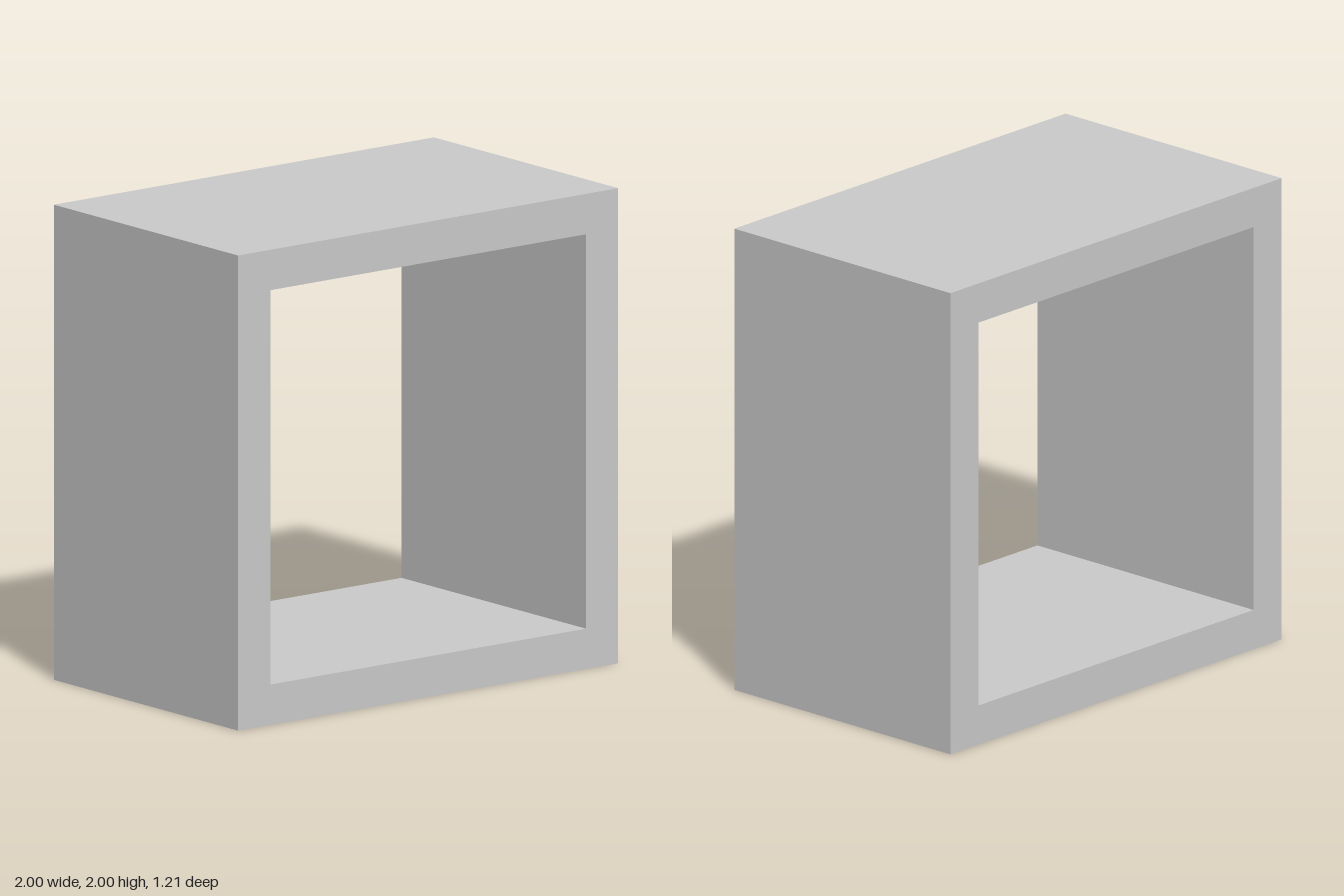
import * as THREE from 'three';

const SIZE = 2, WALL = 0.17, DEPTH = 1.21;

// Square outline centred on x, standing on y = 0, inset from the outer edge
function squarePath(path, inset) {
  const h = SIZE / 2 - inset, y0 = inset, y1 = SIZE - inset;
  path.moveTo(-h, y0);
  path.lineTo(h, y0);
  path.lineTo(h, y1);
  path.lineTo(-h, y1);
  path.closePath();
  return path;
}

export function createModel() {
  const model = new THREE.Group();
  model.name = 'openCubeShelf';

  // Square frame, open front to back
  const outline = squarePath(new THREE.Shape(), 0);
  outline.holes.push(squarePath(new THREE.Path(), WALL));
  const geometry = new THREE.ExtrudeGeometry(outline, { depth: DEPTH, bevelEnabled: false });
  geometry.translate(0, 0, -DEPTH / 2);

  const frame = new THREE.Mesh(
    geometry,
    new THREE.MeshStandardMaterial({ color: 0xcccccc, flatShading: true })
  );
  frame.name = 'frame';
  model.add(frame);
  return model;
}
